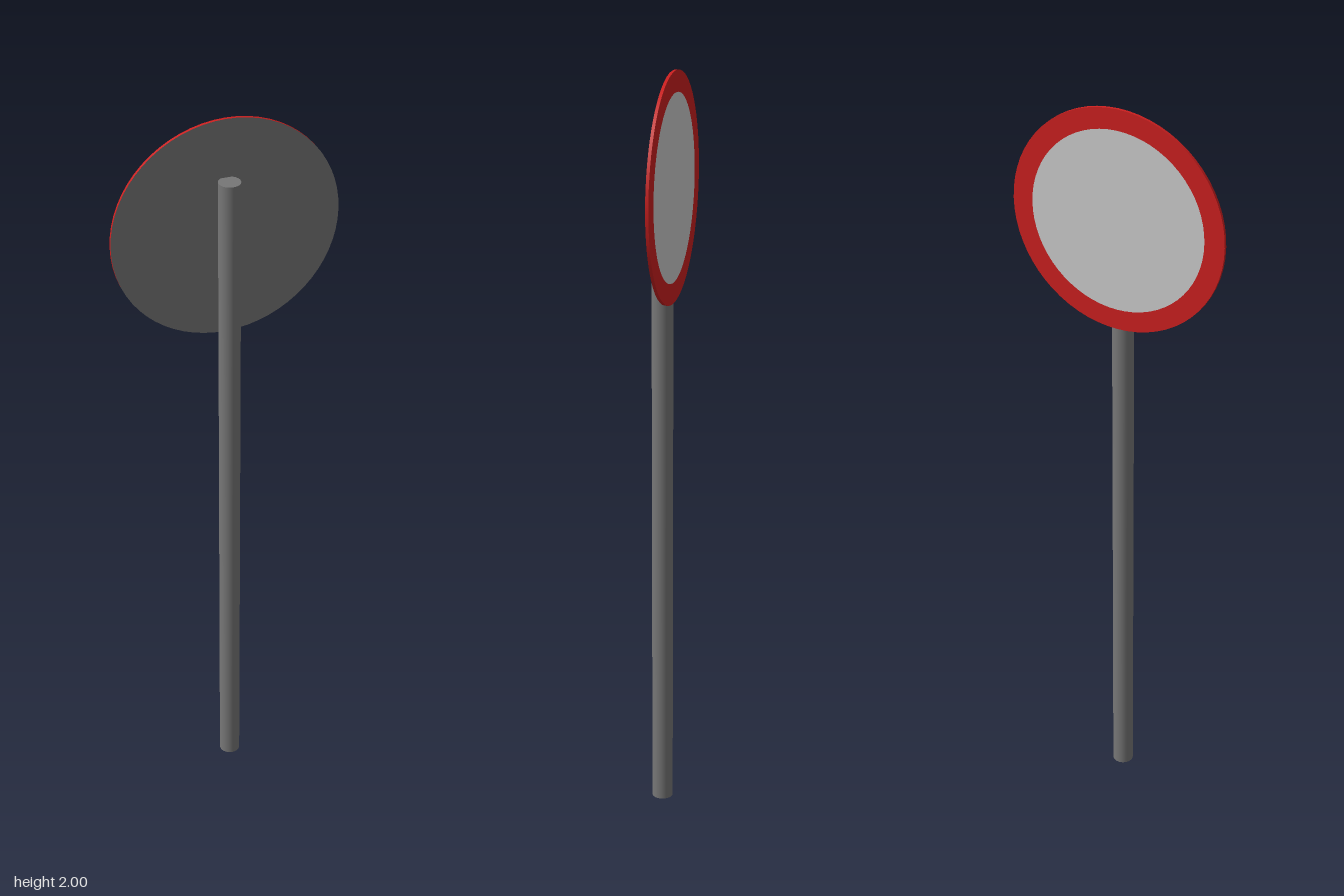
import * as THREE from 'three';

const POST_R = 0.028, POST_H = 1.845;
const SIGN_R = 0.2945, FACE_R = 0.24, SIGN_Y = 2 - SIGN_R;
const Z_OUTER = -0.03, Z_INNER = -0.022, POST_Z = 0.002;

const paint = (color) => new THREE.MeshStandardMaterial({ color });

export function createModel() {
  const group = new THREE.Group();
  const grey = paint(0x777777), red = paint(0xcc1f1f), pale = paint(0xcccccc);

  const add = (name, geometry, material, parent) => {
    const mesh = new THREE.Mesh(geometry, material);
    mesh.name = name;
    parent.add(mesh);
    return mesh;
  };

  // Round post standing on the ground
  add('post', new THREE.CylinderGeometry(POST_R, POST_R, POST_H, 32), grey, group)
    .position.set(0, POST_H / 2, POST_Z);

  // Thin round sign fixed to the rear of the post; its face looks towards -z
  const sign = new THREE.Group();
  sign.name = 'sign';
  sign.position.y = SIGN_Y;
  group.add(sign);

  const edge = add('signEdge',
    new THREE.CylinderGeometry(SIGN_R, SIGN_R, Z_INNER - Z_OUTER, 64, 1, true), red, sign);
  edge.rotation.x = Math.PI / 2;
  edge.position.z = (Z_INNER + Z_OUTER) / 2;

  // Plain plate on the post side
  add('signBack', new THREE.CircleGeometry(SIGN_R, 64), grey, sign).position.z = Z_INNER;

  // Red border ring and pale centre, flush with each other
  const border = add('signBorder', new THREE.RingGeometry(FACE_R, SIGN_R, 64), red, sign);
  const face = add('signFace', new THREE.CircleGeometry(FACE_R, 64), pale, sign);
  for (const part of [border, face]) {
    part.rotation.y = Math.PI;
    part.position.z = Z_OUTER;
  }

  return group;
}
